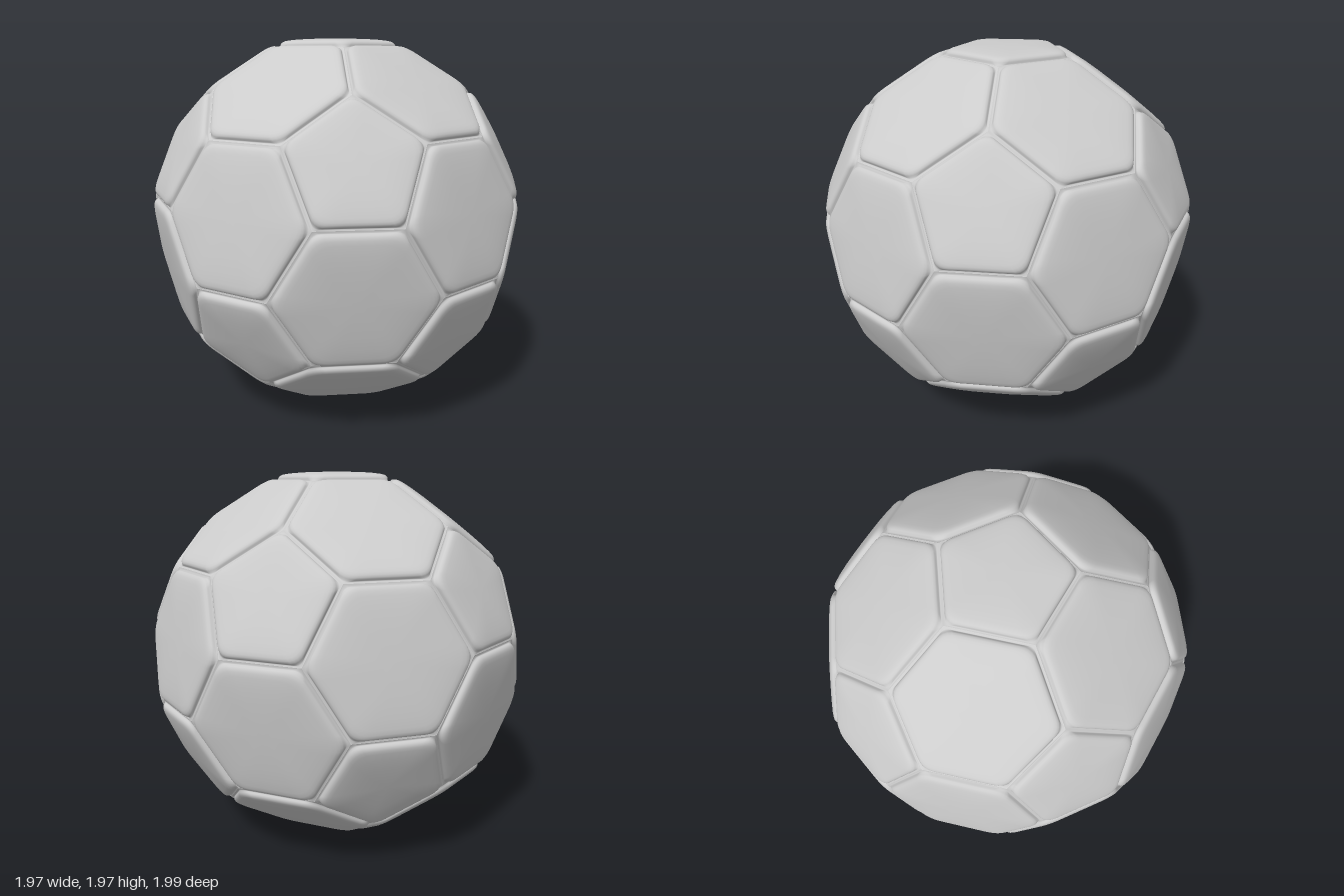
import * as THREE from 'three';

const EDGE = 0.402;      // side length of every panel
const CENTRE_Y = 0.984;
const ARC = 5;           // segments per rounded corner
const SIDE = 4;          // segments per straight side

// Panel cross-section from foot to crown: [outline scale, height, corner rounding]
const PROFILE = [
  [1, 0, 0], [0.972, 0.0, 0.06], [0.966, 0.004, 0.1], [0.966, 0.012, 0.13],
  [0.958, 0.02, 0.15], [0.935, 0.027, 0.16], [0.9, 0.032, 0.17], [0.84, 0.036, 0.18],
  [0.7, 0.041, 0.19], [0.5, 0.045, 0.2], [0.25, 0.047, 0.2],
];
const CROWN = 0.048;

// Twelve icosahedron corners, one straight up
function icosahedronCorners() {
  const y = 1 / Math.sqrt(5), r = 2 * y;
  const pts = [new THREE.Vector3(0, 1, 0), new THREE.Vector3(0, -1, 0)];
  for (let k = 0; k < 5; k++) {
    const a = (k * 2 * Math.PI) / 5, b = a + Math.PI / 5;
    pts.push(new THREE.Vector3(r * Math.cos(a), y, r * Math.sin(a)));
    pts.push(new THREE.Vector3(r * Math.cos(b), -y, r * Math.sin(b)));
  }
  return pts;
}

// Corners of the flat face with normal n, counter-clockwise from outside
function faceCorners(n, points) {
  const top = Math.max(...points.map((p) => p.dot(n)));
  const face = points.filter((p) => p.dot(n) > top - 1e-4);
  const centre = n.clone().multiplyScalar(top);
  const u = face[0].clone().sub(centre).normalize();
  const v = n.clone().cross(u);
  const angle = (p) => Math.atan2(p.dot(v), p.clone().sub(centre).dot(u));
  return { centre, corners: face.sort((a, b) => angle(a) - angle(b)) };
}

// Polygon outline with each corner rounded by fraction f of a side
function roundedOutline(corners, f) {
  const out = [], n = corners.length;
  for (let i = 0; i < n; i++) {
    const p = corners[i], next = corners[(i + 1) % n], prev = corners[(i + n - 1) % n];
    const start = p.clone().lerp(prev, f), end = p.clone().lerp(next, f);
    const curve = new THREE.QuadraticBezierCurve3(start, p, end);
    for (let j = 0; j <= ARC; j++) out.push(curve.getPoint(j / ARC));
    const stop = next.clone().lerp(p, f);
    for (let j = 1; j < SIDE; j++) out.push(end.clone().lerp(stop, j / SIDE));
  }
  return out;
}

// Padded panel: rings of the outline closed by a crown point
function panelGeometry(n, points) {
  const { centre, corners } = faceCorners(n, points);
  const pos = [], index = [];
  const m = corners.length * (ARC + SIDE);
  for (const [scale, height, f] of PROFILE) {
    for (const p of roundedOutline(corners, f)) {
      const q = centre.clone().lerp(p, scale).addScaledVector(n, height);
      pos.push(q.x, q.y, q.z);
    }
  }
  const c = centre.clone().addScaledVector(n, CROWN);
  pos.push(c.x, c.y, c.z);
  const last = PROFILE.length - 1;
  for (let i = 0; i < m; i++) {
    const j = (i + 1) % m;
    for (let r = 0; r < last; r++) {
      const a = r * m + i, b = r * m + j;
      index.push(a, b, b + m, a, b + m, a + m);
    }
    index.push(last * m + i, last * m + j, PROFILE.length * m);
  }
  const g = new THREE.BufferGeometry();
  g.setAttribute('position', new THREE.Float32BufferAttribute(pos, 3));
  g.setIndex(index);
  g.computeVertexNormals();
  return g;
}

export function createModel() {
  const ball = new THREE.Group();
  ball.name = 'ball';
  const material = new THREE.MeshStandardMaterial({ color: 0xcccccc });
  const ico = icosahedronCorners();
  const near = (a, b) => a !== b && a.dot(b) > 0.4;

  // Cut every icosahedron edge at its thirds
  const points = [];
  const scale = (EDGE * 3) / ico[0].distanceTo(ico[2]);
  for (const a of ico) for (const b of ico) {
    if (near(a, b)) points.push(a.clone().lerp(b, 1 / 3).multiplyScalar(scale));
  }

  const addPanel = (name, normal) => {
    const mesh = new THREE.Mesh(panelGeometry(normal, points), material);
    mesh.name = name;
    ball.add(mesh);
  };

  // Pentagons sit on the corners, hexagons on the triangles
  ico.forEach((v, i) => addPanel(`pentagonPanel${i + 1}`, v));
  let count = 0;
  for (let i = 0; i < 12; i++) for (let j = i + 1; j < 12; j++) for (let k = j + 1; k < 12; k++) {
    const [a, b, c] = [ico[i], ico[j], ico[k]];
    if (near(a, b) && near(b, c) && near(a, c)) {
      addPanel(`hexagonPanel${++count}`, a.clone().add(b).add(c).normalize());
    }
  }

  ball.position.y = CENTRE_Y;
  const model = new THREE.Group();
  model.name = 'panelledBall';
  model.add(ball);
  return model;
}
